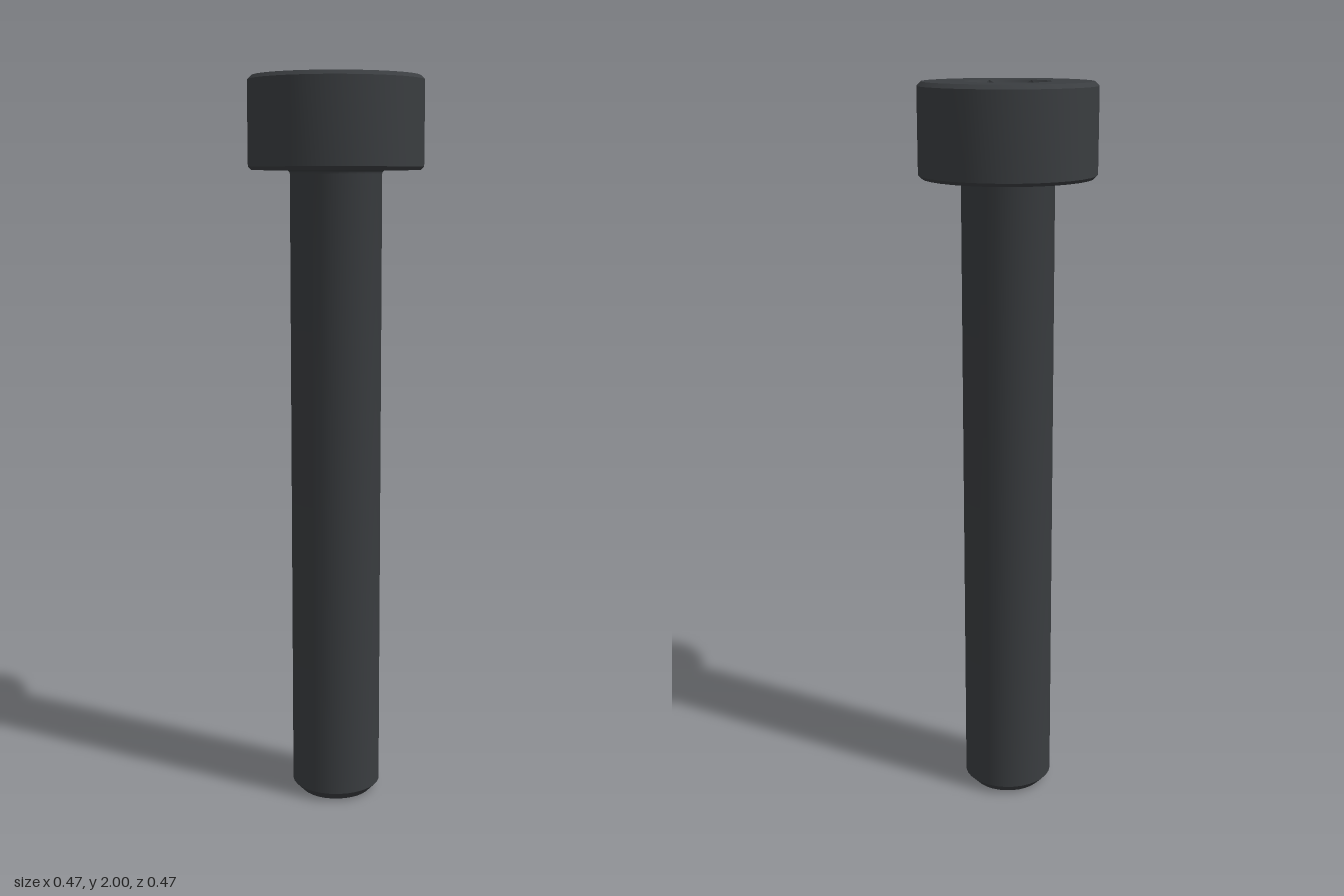
import * as THREE from 'three';
import { toCreasedNormals } from 'three/addons/utils/BufferGeometryUtils.js';

const SEGMENTS = 32;
const TOP = 2, HEAD_BOTTOM = 1.755;
const HEAD_R = 0.236, RIM_R = 0.225, SHANK_R = 0.124;
const FLAT = 0.0975;                              // half the hex width across flats
const SOCKET_R = FLAT / Math.cos(Math.PI / 6) * 1.003;
const SOCKET_FLOOR = TOP - 0.125;
const SOCKET_STEPS = 60;

// Points of a circle, or of any radius given as a function of angle
function ring(count, radius) {
  return Array.from({ length: count }, (_, i) => {
    const a = (i / count) * Math.PI * 2;
    const r = typeof radius === 'function' ? radius(a) : radius;
    return new THREE.Vector2(r * Math.cos(a), r * Math.sin(a));
  });
}

// Radius of the hexagon at an angle, corners on the x axis
function hexRadius(a) {
  const sector = Math.PI / 3;
  const local = a - Math.floor(a / sector + 1e-6) * sector;
  return FLAT / Math.cos(local - sector / 2);
}

// Inward-facing walls between an upper and a lower ring of points
function inwardWall(upper, lower) {
  const positions = [];
  upper.forEach((u, i) => {
    const j = (i + 1) % upper.length;
    for (const p of [u, upper[j], lower[i], upper[j], lower[j], lower[i]]) positions.push(p.x, p.y, p.z);
  });
  const geometry = new THREE.BufferGeometry();
  geometry.setAttribute('position', new THREE.Float32BufferAttribute(positions, 3));
  return toCreasedNormals(geometry, 0.4);
}

function lathe(profile) {
  const points = profile.map(([r, y]) => new THREE.Vector2(r, y));
  return toCreasedNormals(new THREE.LatheGeometry(points, SEGMENTS), 0.4);
}

export function createModel() {
  const model = new THREE.Group();
  model.name = 'socketHeadScrew';
  const material = new THREE.MeshStandardMaterial({ color: 0x3a3d40 });
  const add = (name, geometry, parent = model) => {
    const mesh = new THREE.Mesh(geometry, material);
    mesh.name = name;
    parent.add(mesh);
    return mesh;
  };

  // Shank with chamfered tip and a small fillet under the head
  const shank = [[0, 0], [0.1, 0], [SHANK_R, 0.025]];
  const fillet = 0.01;
  for (let i = 0; i <= 4; i++) {
    const a = (i / 4) * Math.PI / 2;
    shank.push([SHANK_R + fillet * (1 - Math.cos(a)), HEAD_BOTTOM - fillet * (1 - Math.sin(a))]);
  }
  add('shank', lathe(shank));

  // Head side, chamfered at both rims
  add('head', lathe([
    [SHANK_R, HEAD_BOTTOM], [RIM_R + 0.002, HEAD_BOTTOM], [HEAD_R, HEAD_BOTTOM + 0.009],
    [HEAD_R, TOP - 0.011], [RIM_R, TOP],
  ]));

  // Flat top with the socket opening
  const face = new THREE.Shape(ring(SEGMENTS, RIM_R));
  face.holes.push(new THREE.Path(ring(SOCKET_STEPS, SOCKET_R)));
  add('headTop', new THREE.ShapeGeometry(face).rotateX(-Math.PI / 2).translate(0, TOP, 0));

  // Hex socket: conical lead-in, six walls and a floor
  const socket = new THREE.Group();
  socket.name = 'hexSocket';
  model.add(socket);
  const hex = ring(SOCKET_STEPS, hexRadius);
  const mouth = ring(SOCKET_STEPS, SOCKET_R).map(p => new THREE.Vector3(p.x, TOP, -p.y));
  const edge = hex.map(p => new THREE.Vector3(p.x, TOP - (SOCKET_R - p.length()) * 1.3, -p.y));
  const base = hex.map(p => new THREE.Vector3(p.x, SOCKET_FLOOR, -p.y));
  add('socketLeadIn', inwardWall(mouth, edge), socket);
  add('socketWalls', inwardWall(edge, base), socket);
  add('socketFloor', new THREE.ShapeGeometry(new THREE.Shape(hex)).rotateX(-Math.PI / 2)
    .translate(0, SOCKET_FLOOR, 0), socket);

  return model;
}
